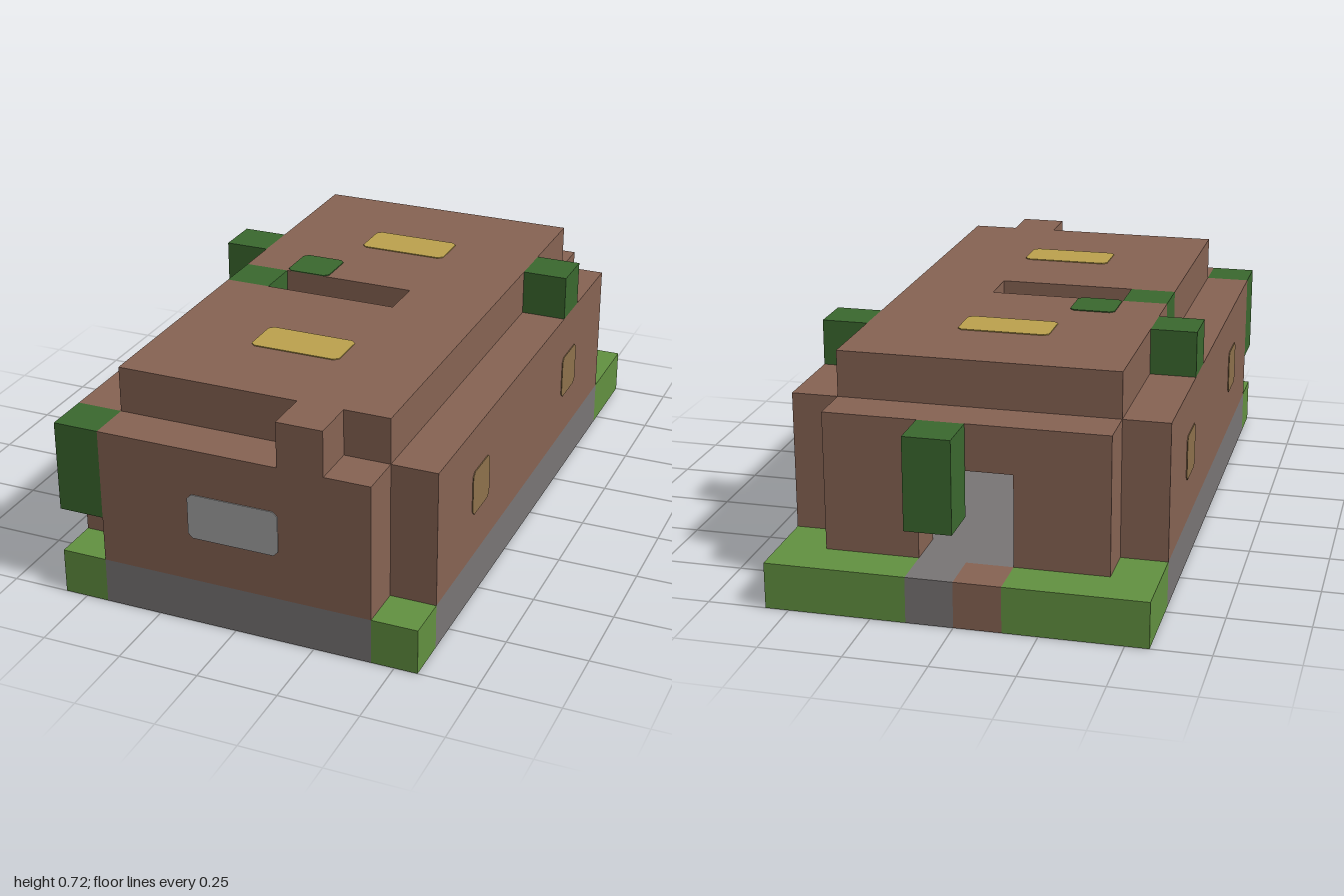
import * as THREE from 'three';

const U = 1 / 7; // size of one block

const mat = (name, color, extra = {}) => {
  const m = new THREE.MeshStandardMaterial({ color, ...extra });
  m.name = name;
  return m;
};

export function createModel() {
  const house = new THREE.Group();
  house.name = 'blockHouse';

  const brown = mat('brown wood', 0x886454);
  const stone = mat('grey stone', 0x7a7676);
  const grass = mat('grass green', 0x639241);
  const leaf = mat('leaf green', 0x3b692f);
  const amber = mat('amber skylight', 0xbea34e);
  const dimAmber = mat('dim amber window', 0x8f724c);
  const silver = mat('silver sign', 0xa8a8a8);

  // Box given by its block ranges
  const block = (name, material, [x0, x1], [y0, y1], [z0, z1]) => {
    const mesh = new THREE.Mesh(
      new THREE.BoxGeometry((x1 - x0) * U, (y1 - y0) * U, (z1 - z0) * U), material);
    mesh.position.set((x0 + x1) / 2 * U, (y0 + y1) / 2 * U, (z0 + z1) / 2 * U);
    mesh.name = name;
    house.add(mesh);
    return mesh;
  };

  // Thin plate with clipped corners, centred at a block position
  const plate = (name, material, w, h, [x, y, z], rx = 0, ry = 0) => {
    const a = w * U / 2, b = h * U / 2, c = 0.014;
    const shape = new THREE.Shape([
      [-a + c, -b], [a - c, -b], [a, -b + c], [a, b - c],
      [a - c, b], [-a + c, b], [-a, b - c], [-a, -b + c],
    ].map(([px, py]) => new THREE.Vector2(px, py)));
    const mesh = new THREE.Mesh(
      new THREE.ExtrudeGeometry(shape, { depth: 0.003, bevelEnabled: false }), material);
    mesh.position.set(x * U, y * U, z * U);
    mesh.rotation.set(rx, ry, 0);
    mesh.name = name;
    house.add(mesh);
  };

  // Foundation and grass border
  const ground = [0, 1];
  block('foundation', stone, [-4, 4], ground, [-5, 6]);
  block('foundationFront', stone, [-3, 3], ground, [6, 7]);
  block('foundationBack', stone, [-3, 3], ground, [-6, -5]);
  for (const x of [-4, 3]) {
    block('grassFrontCorner', grass, [x, x + 1], ground, [6, 7]);
    block('grassBackCorner', grass, [x, x + 1], ground, [-6, -5]);
  }
  block('grassBackRight', grass, [-4, -1], ground, [-7, -6]);
  block('grassBackLeft', grass, [1, 4], ground, [-7, -6]);
  block('doorStepWood', brown, [-1, 0], ground, [-7, -6]);
  block('doorStepStone', stone, [0, 1], ground, [-7, -6]);

  // Walls around a hollow room, with a doorway at the back
  for (const x of [-4, 3]) block('sideWall', brown, [x, x + 1], [1, 4], [-5, 6]);
  block('frontWall', brown, [-3, 3], [1, 4], [6, 7]);
  for (const x of [-3, 1]) block('backWall', brown, [x, x + 2], [1, 4], [-6, -5]);
  block('lintel', brown, [-1, 1], [3, 4], [-6, -5]);

  // Roof with a stair opening
  const top = [4, 5];
  block('roofBack', brown, [-3, 3], top, [-5, 0]);
  block('roofFront', brown, [-3, 3], top, [1, 6]);
  block('roofBesideStairs', brown, [1, 3], top, [0, 1]);
  block('roofPeg', brown, [1, 2], top, [6, 7]);
  for (let i = 0; i < 3; i++) block('stair', brown, [-2 + i, -1 + i], [1, 4 - i], [0, 1]);

  // Leaf blocks
  block('roofLeaf', leaf, [-3, -2], top, [0, 1]);
  block('rightLedgeLeaf', leaf, [-4, -3], top, [-2, -1]);
  block('leftLedgeLeaf', leaf, [3, 4], top, [-3, -2]);
  block('frontVine', leaf, [-4, -3], [2, 4], [6, 7]);
  block('doorVine', leaf, [0, 1], [2, 4], [-7, -6]);

  // Painted details
  plate('frontSign', silver, 2, 1, [0, 2.5, 7]);
  for (const z of [-2.5, 3.5]) {
    plate('skylight', amber, 2, 1, [0, 5, z], -Math.PI / 2);
    for (const s of [-1, 1])
      plate('sideWindow', dimAmber, 1, 1, [4 * s, 2.5, z], 0, s * Math.PI / 2);
  }
  plate('roofMoss', leaf, 1, 1, [-1.5, 5, -0.5], -Math.PI / 2);

  return house;
}
